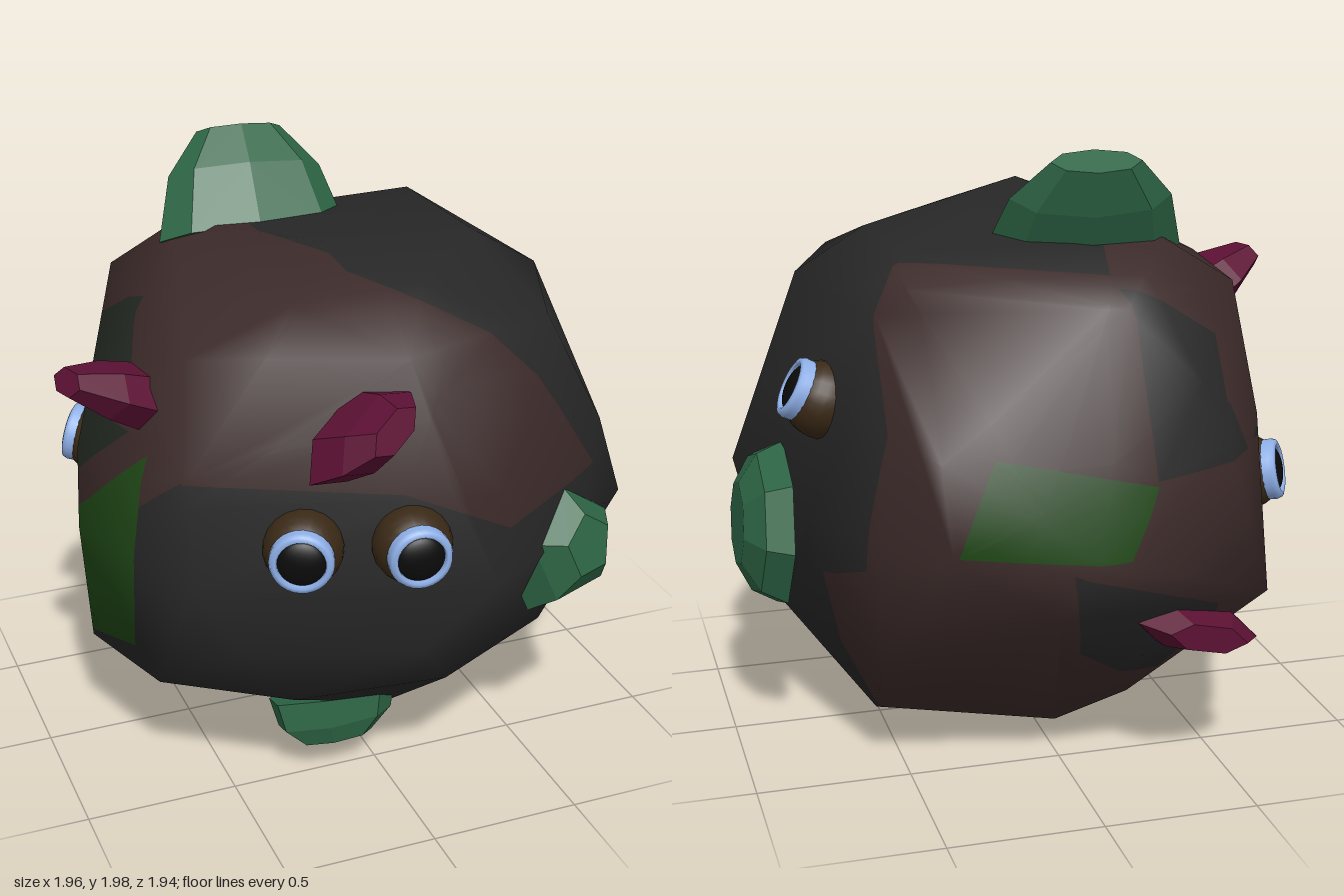
import * as THREE from 'three';
import { mergeVertices } from 'three/addons/utils/BufferGeometryUtils.js';
import { ConvexGeometry } from 'three/addons/geometries/ConvexGeometry.js';

const V = (p) => new THREE.Vector3(...p);
const CENTRE = V([0, 0.9, 0]);
const UP = V([0, 1, 0]);
const mat = (color, extra = {}) => new THREE.MeshStandardMaterial({ color, ...extra });
const COLORS = { charcoal: 0x272727, brown: 0x3b2a29, moss: 0x222921, leaf: 0x1f4716 };

// Boulder cross-sections: height, then [x, z] corners
const SECTIONS = [
  [.02, [-.17, 0], [.2, -.1], [.1, .15]],
  [.13, [.55, -.2], [.55, .05], [.1, .36], [-.45, 0], [-.3, -.3], [0, -.45]],
  [.43, [.82, .15], [.6, .5], [.15, .73], [-.35, .68], [-.72, .42], [-.84, .05], [-.5, -.45], [-.2, -.7], [.6, -.57]],
  [.65, [0, .88], [-.52, .72], [-.6, -.78], [.1, -.86], [.88, .3]],
  [.87, [.93, .35], [.88, .5], [.62, .7], [.22, .94], [-.67, .67], [-.88, .1], [0, -.96], [.43, -.86], [.61, -.67], [.78, -.35]],
  [1.15, [.85, .2], [.79, .5], [.1, .86], [-.68, .62], [-.87, .1], [-.66, -.5], [-.45, -.8], [.45, -.78], [.7, -.5]],
  [1.57, [.73, .1], [.55, .55], [0, .74], [-.63, .5], [-.65, .1], [-.6, -.4], [-.15, -.7], [.6, -.58]],
  [1.71, [.5, .1], [.14, .5], [-.3, .53], [-.38, -.35], [.48, -.4]],
  [1.81, [-.08, .33]],
];

// Colour patches: outlines as [azimuth from +z, elevation] in degrees, later ones on top
const PATCHES = [
  ['brown', [-49, 19], [-3, 18], [19, 7], [52, 8], [28, 42], [11, 54], [-60, 65]],
  ['brown', [-10, 62], [-90, 76], [-165, 53], [-118, 32], [-90, 0], [-80, -3], [-48, 20]],
  ['brown', [-164, 53], [129, 50], [138, 20], [131, -13], [114, -15], [112, -65], [-101, -50], [-90, 5], [-120, 34]],
  ['charcoal', [-166, 49], [-140, 36], [-146, 23], [-139, 12], [-167, 11]],
  ['charcoal', [175, -5], [180, -30], [-142, -47], [-151, -17]],
  ['moss', [-90, 49], [-118, 32], [-96, 24], [-70, 32]],
  ['moss', [-96, 24], [-134, 13], [-90, 5], [-67, 25]],
  ['moss', [22, -52], [65, -41], [79, -57], [63, -75]],
  ['leaf', [-60, 22], [-90, -3], [-87, -28], [-68, -25]],
  ['leaf', [160, 17], [-167, 10], [-174, -3], [154, -1]],
];
const direction = ([az, el]) => new THREE.Vector3().setFromSphericalCoords(
  1, THREE.MathUtils.degToRad(90 - el), THREE.MathUtils.degToRad(az));

// Splits a polygon of {p, n} corners by a plane through the centre
function split(poly, plane) {
  const front = [], back = [];
  poly.forEach((a, i) => {
    const b = poly[(i + 1) % poly.length];
    const da = a.p.dot(plane), db = b.p.dot(plane);
    (da >= 0 ? front : back).push(a);
    if ((da >= 0) !== (db >= 0)) {
      const t = da / (da - db);
      const cut = { p: a.p.clone().lerp(b.p, t), n: a.n.clone().lerp(b.n, t).normalize() };
      front.push(cut);
      back.push(cut);
    }
  });
  return [front, back];
}

// Recolours everything inside the spherical triangle a, b, c
function carve(faces, a, b, c, color) {
  const s = Math.sign(a.dot(b.clone().cross(c)));
  const planes = [[a, b], [b, c], [c, a]].map(([u, v]) => u.clone().cross(v).multiplyScalar(s).normalize());
  const out = [];
  for (const face of faces) {
    let rest = face.poly;
    const outside = [];
    for (const plane of planes) {
      const [inPart, outPart] = split(rest, plane);
      if (outPart.length > 2) outside.push(outPart);
      rest = inPart;
      if (rest.length < 3) break;
    }
    if (rest.length < 3) {
      out.push(face);
      continue;
    }
    outside.forEach((poly) => out.push({ poly, color: face.color }));
    out.push({ poly: rest, color });
  }
  return out;
}

function makeBoulder() {
  // smooth-shaded hull
  let hull = new ConvexGeometry(SECTIONS.flatMap(([y, ...ring]) => ring.map(([x, z]) => V([x, y, z]))));
  hull.deleteAttribute('normal');
  hull = mergeVertices(hull, 1e-4);
  hull.computeVertexNormals();
  const { position, normal } = hull.attributes;
  const corner = (i) => ({
    p: new THREE.Vector3().fromBufferAttribute(position, i).sub(CENTRE),
    n: new THREE.Vector3().fromBufferAttribute(normal, i),
  });
  let faces = [];
  for (let i = 0; i < hull.index.count; i += 3) {
    faces.push({ poly: [0, 1, 2].map((k) => corner(hull.index.getX(i + k))), color: 'charcoal' });
  }
  for (const [color, ...outline] of PATCHES) {
    const pts = outline.map(direction);
    const mid = pts.reduce((sum, p) => sum.add(p), new THREE.Vector3()).normalize();
    pts.forEach((p, i) => { faces = carve(faces, mid, p, pts[(i + 1) % pts.length], color); });
  }
  // one mesh per colour
  const group = new THREE.Group();
  group.name = 'boulderBody';
  for (const color in COLORS) {
    const pos = [], nor = [];
    for (const { poly } of faces.filter((f) => f.color === color)) {
      for (let i = 1; i < poly.length - 1; i++) {
        for (const v of [poly[0], poly[i], poly[i + 1]]) {
          pos.push(...v.p.clone().add(CENTRE).toArray());
          nor.push(...v.n.toArray());
        }
      }
    }
    const geo = new THREE.BufferGeometry();
    geo.setAttribute('position', new THREE.Float32BufferAttribute(pos, 3));
    geo.setAttribute('normal', new THREE.Float32BufferAttribute(nor, 3));
    const mesh = new THREE.Mesh(geo, mat(COLORS[color]));
    mesh.name = color + 'Surface';
    group.add(mesh);
  }
  return group;
}

// Faceted outcrop: hull of three shrinking oval rings from base to tip
function makeOutcrop(name, color, base, tip, width, depth, taper, sides, roll = 0) {
  const from = V(base), axis = V(tip).sub(from);
  const dir = axis.clone().normalize();
  const side = UP.clone().cross(dir).normalize().applyAxisAngle(dir, roll);
  const over = dir.clone().cross(side);
  const points = [];
  for (const [t, r] of [[0, 1], [0.6, 0.45 + taper * 0.8], [1, taper]]) {
    for (let i = 0; i < sides; i++) {
      const a = (i / sides) * Math.PI * 2;
      points.push(from.clone().addScaledVector(axis, t)
        .addScaledVector(side, Math.cos(a) * width * r)
        .addScaledVector(over, Math.sin(a) * depth * r));
    }
  }
  const mesh = new THREE.Mesh(new ConvexGeometry(points), mat(color, { flatShading: true }));
  mesh.name = name;
  return mesh;
}

// Eye: brown socket, pale blue rim and black pupil, facing along dir
function makeEye(name, ring, dir) {
  const eye = new THREE.Group();
  eye.name = name;
  const add = (part, geo, material) => {
    const mesh = new THREE.Mesh(geo, material);
    mesh.name = part;
    eye.add(mesh);
    return mesh;
  };
  const socket = add('socket', new THREE.SphereGeometry(0.125, 20, 14), mat(0x3a2916));
  socket.position.y = -0.085;
  const profile = [[.098, -.04], [.1, .015], [.094, .03], [.08, .035], [.074, .028], [.074, -.02]];
  const rim = profile.map(([r, y]) => new THREE.Vector2(r, y));
  add('rim', new THREE.LatheGeometry(rim, 28), mat(0x8fb0e8, { side: THREE.DoubleSide }));
  const pupil = add('pupil', new THREE.SphereGeometry(0.076, 24, 8, 0, Math.PI * 2, 0, Math.PI / 2), mat(0x0b0b0b));
  pupil.scale.y = 0.4;
  pupil.position.y = 0.01;
  eye.position.copy(V(ring));
  eye.quaternion.setFromUnitVectors(UP, V(dir).normalize());
  return eye;
}

export function createModel() {
  const model = new THREE.Group();
  model.name = 'rockCreature';
  const green = 0x2d6545, magenta = 0x5c1134;
  model.add(
    makeBoulder(),
    makeOutcrop('topFin', green, [-.15, 1.67, -.23], [-.13, 1.975, -.43], .32, .12, .45, 8),
    makeOutcrop('frontCrystal', green, [.54, .81, .64], [.61, .86, .8], .24, .23, .45, 5, .3),
    makeOutcrop('sideCrystal', green, [.83, .76, -.04], [.97, .77, -.04], .33, .28, .5, 8),
    makeOutcrop('bottomCrystal', green, [-.14, .29, .46], [-.14, .13, .5], .23, .1, .55, 7),
    makeOutcrop('frontSpike', magenta, [-.19, 1.35, .73], [-.13, 1.44, .93], .21, .1, .5, 6, .5),
    makeOutcrop('sideSpike', magenta, [-.64, 1.34, .25], [-.95, 1.49, .35], .18, .11, .4, 6),
    makeOutcrop('backSpike', magenta, [-.36, .54, -.66], [-.38, .54, -.86], .23, .08, .6, 6, -.25),
    makeEye('frontEyeA', [-.38, 1.01, .82], [-.4, 0, .92]),
    makeEye('frontEyeB', [-.04, 1.01, .92], [-.14, 0, .99]),
    makeEye('sideEyeA', [.79, 1.28, -.29], [.87, .45, 0]),
    makeEye('sideEyeB', [-.73, .94, -.46], [-.85, .2, -.5]),
  );
  return model;
}
